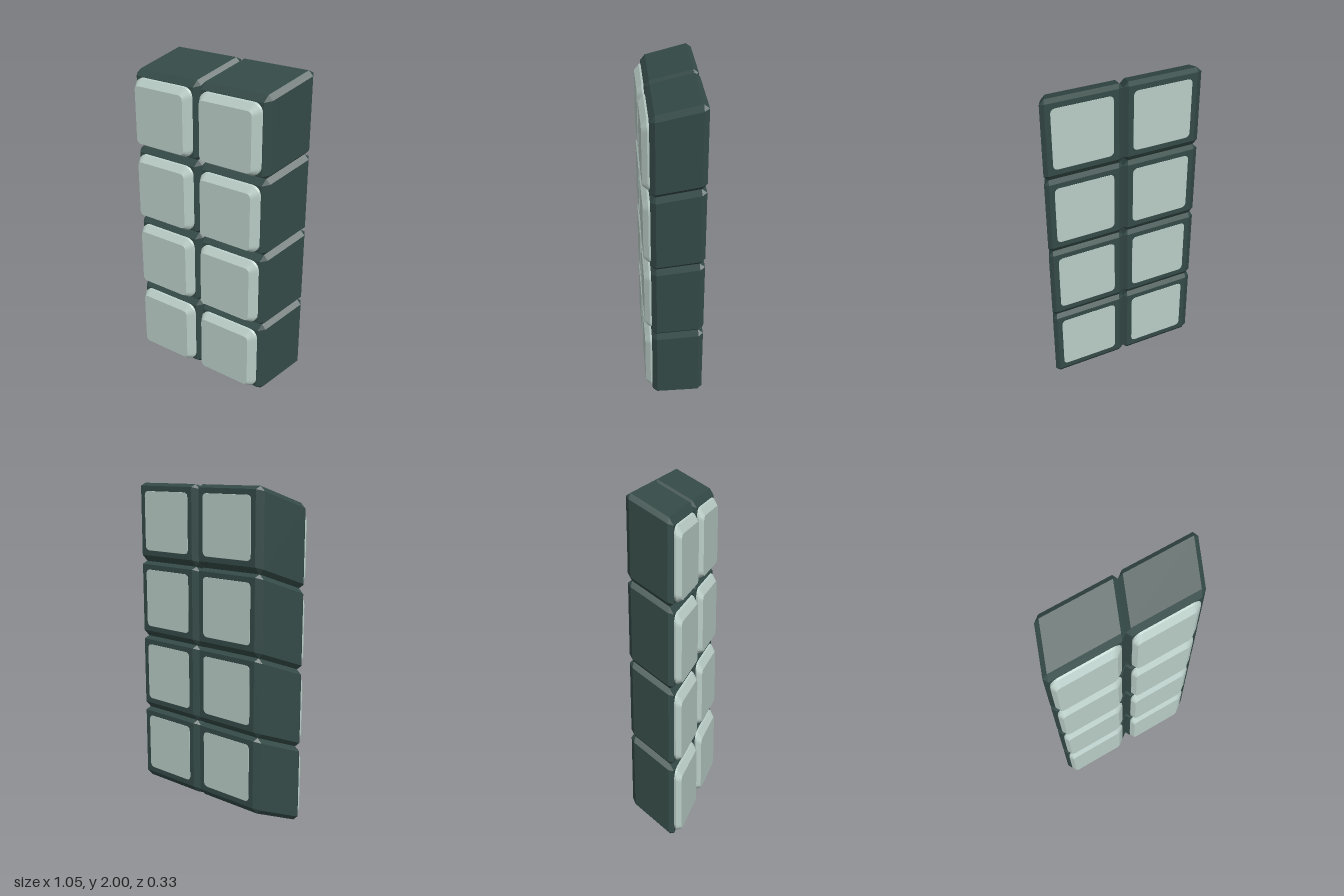
import * as THREE from 'three';
import { ConvexGeometry } from 'three/addons/geometries/ConvexGeometry.js';

const PITCH = 0.476, HALF = PITCH / 2, SHEAR = 0.4;

// Lean a geometry: it drifts to +x and +y towards the back
function lean(geometry) {
  const p = geometry.attributes.position;
  for (let i = 0; i < p.count; i++) {
    const z = p.getZ(i);
    p.setXY(i, p.getX(i) - SHEAR * z, p.getY(i) - SHEAR * z);
  }
  geometry.computeVertexNormals();
  return geometry;
}

// Box with chamfered edges and corners
function chamferedBlock(half, zBack, zFront, bevel) {
  const points = [];
  const mid = (zBack + zFront) / 2, depth = (zFront - zBack) / 2, inner = half - bevel;
  for (const x of [-1, 1]) for (const y of [-1, 1]) for (const z of [-1, 1]) {
    points.push(
      new THREE.Vector3(x * half, y * inner, mid + z * (depth - bevel)),
      new THREE.Vector3(x * inner, y * half, mid + z * (depth - bevel)),
      new THREE.Vector3(x * inner, y * inner, mid + z * depth));
  }
  return new ConvexGeometry(points);
}

// Rounded square key with a bevelled rim at both ends
function bevelledKey(half, radius, zBack, zFront, bevel) {
  const s = new THREE.Shape(), c = half - radius;
  s.moveTo(c, -half);
  s.absarc(c, -c, radius, -Math.PI / 2, 0);
  s.absarc(c, c, radius, 0, Math.PI / 2);
  s.absarc(-c, c, radius, Math.PI / 2, Math.PI);
  s.absarc(-c, -c, radius, Math.PI, Math.PI * 1.5);
  const g = new THREE.ExtrudeGeometry(s, {
    depth: zFront - zBack - 2 * bevel, curveSegments: 3, bevelSegments: 1,
    bevelSize: bevel, bevelThickness: bevel, bevelOffset: -bevel,
  });
  return g.translate(0, 0, zBack + bevel);
}

export function createModel() {
  const model = new THREE.Group();
  model.name = 'keypad';
  const dark = new THREE.MeshStandardMaterial({ color: 0x344a47, flatShading: true });
  const light = new THREE.MeshStandardMaterial({ color: 0xb9ccc6, flatShading: true });
  const blockGeometry = lean(chamferedBlock(HALF, -0.167, 0.127, 0.028));
  // The key runs through the block and shows as a flush panel at the back
  const keyGeometry = lean(bevelledKey(0.207, 0.055, -0.168, 0.167, 0.029));

  // Two columns of four leaning blocks
  for (let row = 0; row < 4; row++) {
    for (let col = 0; col < 2; col++) {
      const cell = new THREE.Group();
      cell.name = `cell_${row}_${col}`;
      const block = new THREE.Mesh(blockGeometry, dark);
      block.name = 'block';
      const key = new THREE.Mesh(keyGeometry, light);
      key.name = 'key';
      cell.add(block, key);
      cell.position.set((col - 0.5) * PITCH - 0.008, 0.278 + row * PITCH, 0);
      model.add(cell);
    }
  }
  return model;
}
